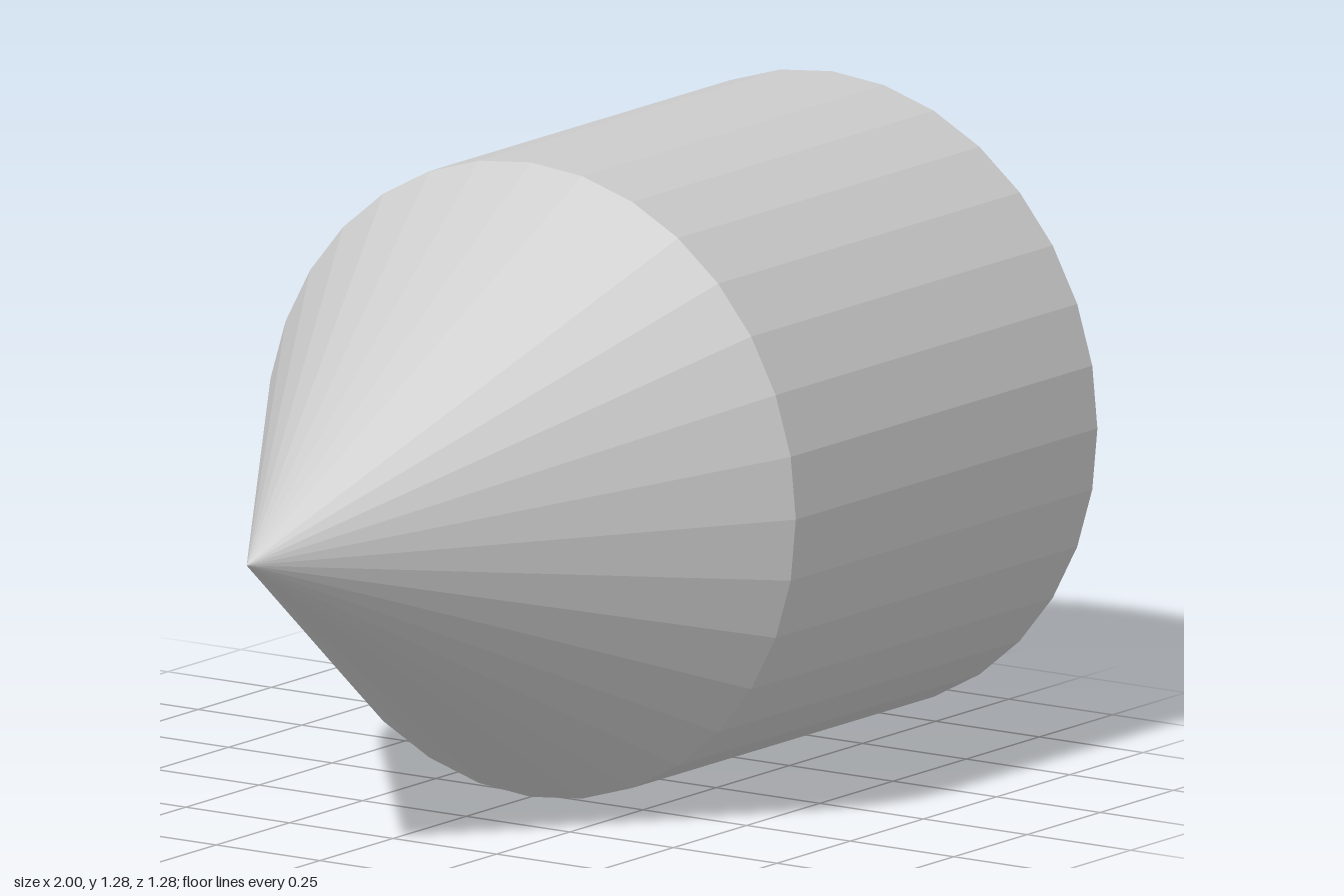
import * as THREE from 'three';

const SIDES = 32;
const RADIUS = 0.64;
const BASE = -1; // along the axis, before it is laid on its side
const SHOULDER = 0.03;
const TIP = 1;

export function createModel() {
  const group = new THREE.Group();
  group.name = 'pointedCylinder';
  const material = new THREE.MeshStandardMaterial({ color: 0xcccccc, flatShading: true });

  // Each part is turned around the axis, then laid down so the tip points to -x
  const addTurned = (name, profile) => {
    const points = profile.map(([r, h]) => new THREE.Vector2(r, h));
    const geometry = new THREE.LatheGeometry(points, SIDES);
    geometry.rotateZ(Math.PI / 2).translate(0, RADIUS, 0);
    const mesh = new THREE.Mesh(geometry, material);
    mesh.name = name;
    group.add(mesh);
  };

  // Straight body with its flat end cap
  addTurned('body', [[0, BASE], [RADIUS, BASE], [RADIUS, SHOULDER]]);

  // Conical point, open where it meets the body
  addTurned('conePoint', [[RADIUS, SHOULDER], [0, TIP]]);

  return group;
}
